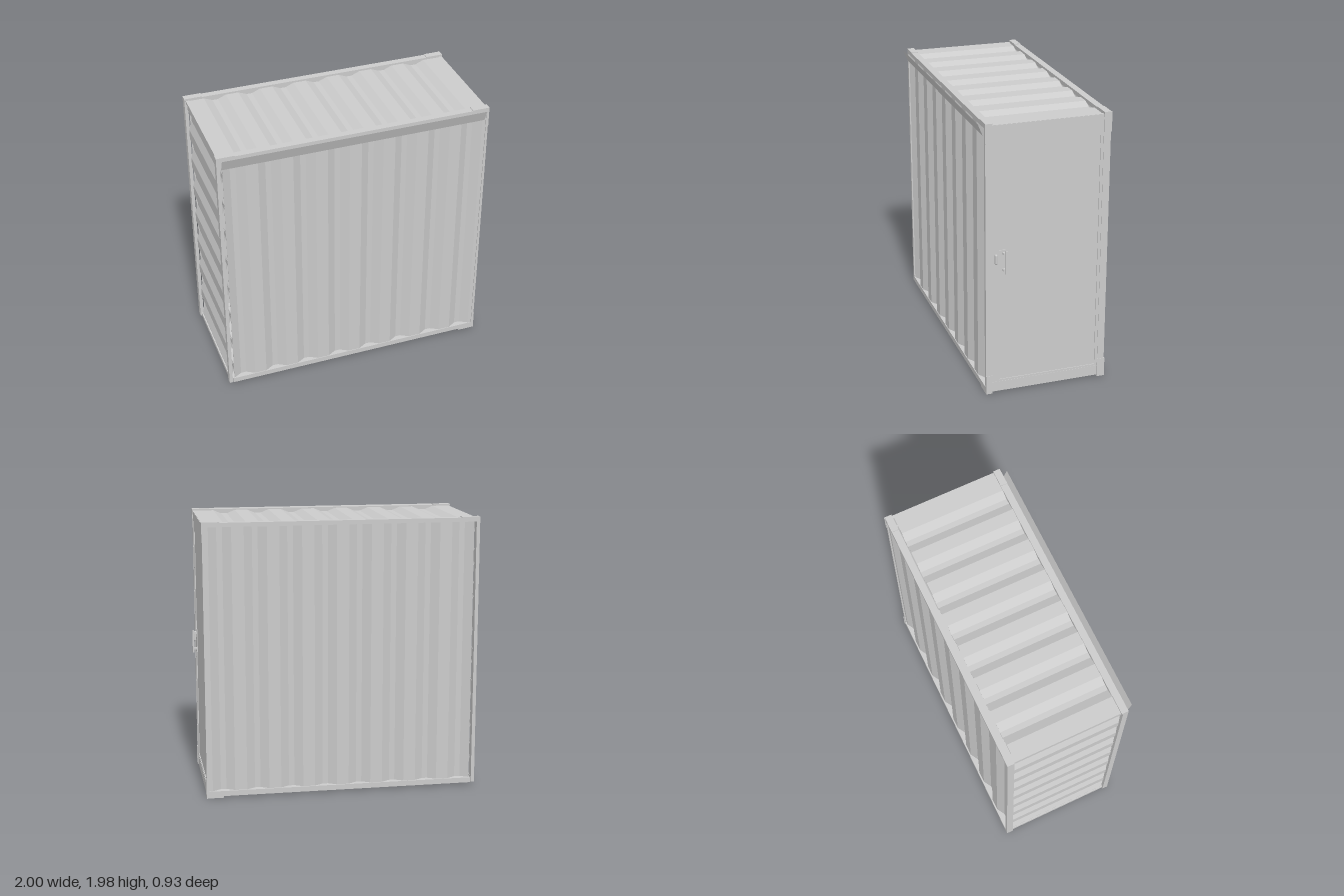
import * as THREE from 'three';

const grey = new THREE.MeshStandardMaterial({ color: 0xcccccc, side: THREE.DoubleSide });

export function createModel() {
  const model = new THREE.Group();

  const add = (name, geometry) => {
    const mesh = new THREE.Mesh(geometry, grey);
    mesh.name = name;
    model.add(mesh);
    return mesh;
  };

  // box given by its minimum and maximum on each axis
  const box = (name, x0, x1, y0, y1, z0, z1) => {
    const g = new THREE.BoxGeometry(x1 - x0, y1 - y0, z1 - z0);
    g.translate((x0 + x1) / 2, (y0 + y1) / 2, (z0 + z1) / 2);
    return add(name, g);
  };

  // corrugated sheet: trapezoid grooves along u, sunk against d, drawn out along u x d
  const corrugated = (name, { u, d, origin, length, start, end, first, period, count, depth }) => {
    const outline = [[start, 0]];
    for (let i = 0; i < count; i++) {
      const s = first + i * period;
      outline.push([s, 0], [s + 0.06, -depth], [s + 0.1, -depth], [s + 0.16, 0]);
    }
    outline.push([end, 0]);
    const top = outline
      .filter((p, i) => i === 0 || p[0] - outline[i - 1][0] > 0.001)
      .map(([a, b]) => new THREE.Vector2(a, b));
    const under = top.map((p) => new THREE.Vector2(p.x, p.y - 0.004)).reverse();
    const g = new THREE.ExtrudeGeometry(new THREE.Shape([...top, ...under]), { depth: length, bevelEnabled: false });
    const U = new THREE.Vector3(...u), D = new THREE.Vector3(...d);
    const m = new THREE.Matrix4().makeBasis(U, D, U.clone().cross(D)).setPosition(...origin);
    add(name, g.applyMatrix4(m));
  };

  // corrugated walls and roof
  const side = { u: [1, 0, 0], length: 1.92, start: -0.96, end: 0.955, first: -0.96, period: 0.247, count: 8, depth: 0.035 };
  corrugated('frontWall', { ...side, d: [0, 0, 1], origin: [0, 1.96, 0.415] });
  corrugated('backWall', { ...side, d: [0, 0, -1], origin: [0, 0.04, -0.45] });
  corrugated('roof', {
    u: [1, 0, 0], d: [0, 1, 0], origin: [0, 1.967, -0.4], length: 0.78,
    start: -0.99, end: 0.97, first: -0.86, period: 0.253, count: 7, depth: 0.025,
  });
  corrugated('leftEndWall', {
    u: [0, 1, 0], d: [-1, 0, 0], origin: [-0.98, 0, -0.42], length: 0.81,
    start: 0.03, end: 1.96, first: 0.05, period: 0.24, count: 8, depth: 0.025,
  });

  // floor
  box('floor', -0.97, 0.96, 0.01, 0.045, -0.45, 0.41);

  // long rails, posts and corner fittings on the front and back
  for (const [label, z0, z1, inner] of [['front', 0.38, 0.42, 0.37], ['back', -0.46, -0.41, -0.41]]) {
    box(label + 'TopRail', -0.995, 0.97, 1.945, 1.975, Math.min(z0, inner), z1);
    box(label + 'BottomRail', -0.97, 0.96, 0.012, 0.05, z0, z1);
    box(label + 'LeftPost', -1, -0.975, 0.015, 1.975, z0, z1);
    box(label + 'RightPost', 0.955, 0.972, 0.01, 1.975, z0, z1);
    for (const [x0, x1] of [[-1, -0.87], [0.85, 0.975]]) {
      box(label + 'TopCornerCap', x0, x1, 1.968, 1.98, Math.min(z0, inner), z1);
    }
    box(label + 'BottomCornerFoot', 0.85, 0.975, 0, 0.025, z0, z1);
    box(label + 'LowerCornerPlate', 0.965, 0.975, 0, 0.14, z0 - 0.005, z1);
    box(label + 'UpperCornerPlate', 0.965, 0.975, 1.84, 1.98, z0 - 0.005, z1);
  }

  // tilted fascia sheet along the top of the front
  const fascia = new THREE.PlaneGeometry(1.91, 0.085);
  const pos = fascia.attributes.position;
  for (let i = 0; i < pos.count; i++) pos.setZ(i, pos.getY(i) > 0 ? 0.46 : 0.425);
  fascia.computeVertexNormals();
  add('fascia', fascia.translate(-0.015, 1.9325, 0));

  // left end cross rails
  box('leftBottomRail', -0.99, -0.96, 0.015, 0.045, -0.41, 0.38);
  box('leftTopRail', -0.99, -0.965, 1.945, 1.965, -0.41, 0.38);

  // door surround with its opening, built in (z, y) and turned to face +x
  const rect = (a0, a1, b0, b1, Kind) =>
    new Kind([[a0, b0], [a1, b0], [a1, b1], [a0, b1]].map((p) => new THREE.Vector2(...p)));
  const surround = rect(-0.38, 0.41, 0.08, 1.94, THREE.Shape);
  surround.holes.push(new THREE.Path([
    [-0.325, 0.1], [0.39, 0.1], [0.39, 1.82], [-0.325, 1.82], [-0.325, 1.08], [-0.28, 1.08], [-0.28, 0.91], [-0.325, 0.91],
  ].map((p) => new THREE.Vector2(...p))));
  const surroundGeo = new THREE.ExtrudeGeometry(surround, { depth: 0.012, bevelEnabled: false });
  add('doorSurround', surroundGeo.rotateY(Math.PI / 2).translate(0.956, 0, 0));

  box('door', 0.945, 0.962, 0.09, 1.83, -0.395, 0.335);
  box('doorSill', 0.945, 0.97, 0.012, 0.085, -0.41, 0.38);
  box('doorTopRail', 0.95, 0.972, 1.94, 1.965, -0.41, 0.38);

  // lock and handle
  const lock = new THREE.CapsuleGeometry(0.01, 0.055, 4, 12).scale(1.4, 1, 1);
  add('lock', lock.translate(0.974, 1.02, 0.347));
  box('handleGrip', 0.988, 1, 0.91, 1.08, 0.272, 0.288);
  for (const y of [0.93, 1.05]) box('handleMount', 0.96, 0.99, y, y + 0.015, 0.275, 0.3);

  return model;
}
